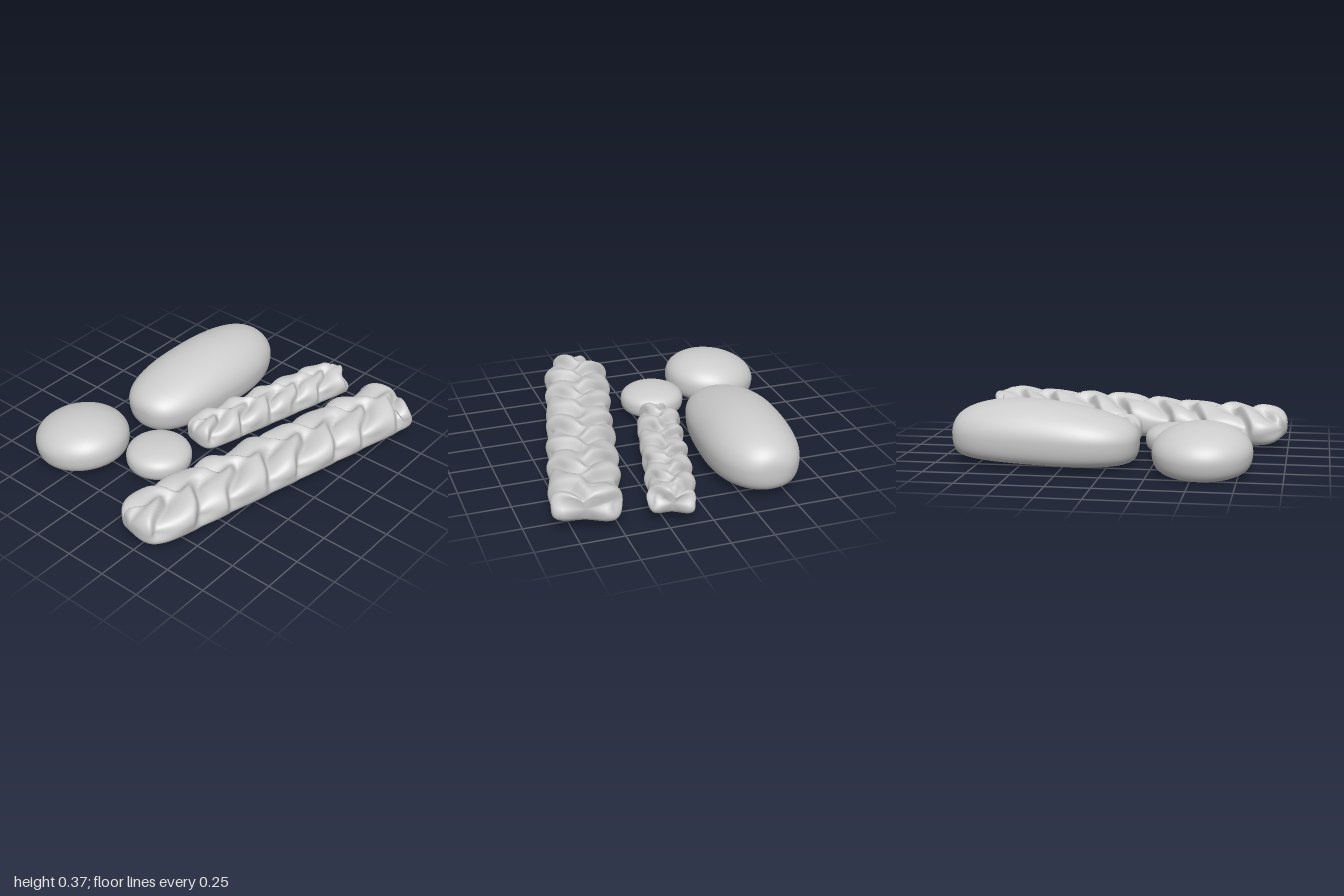
import * as THREE from 'three';
import { mergeVertices } from 'three/addons/utils/BufferGeometryUtils.js';

const smooth = THREE.MathUtils.smoothstep;

// Closed skin: moves a grid by rule(angle, t), t running from back (-1) to front (1)
function skin(rule, around, along) {
  let geo = new THREE.PlaneGeometry(1, 1, around, along);
  const pos = geo.attributes.position;
  for (let i = 0; i < pos.count; i++) {
    const step = Math.round((pos.getX(i) + 0.5) * around) % around;
    const p = rule((step / around) * Math.PI * 2, pos.getY(i) * 2);
    pos.setXYZ(i, p[0], p[1], p[2]);
  }
  geo.deleteAttribute('uv');
  geo.deleteAttribute('normal');
  geo = mergeVertices(geo, 1e-5);
  geo.computeVertexNormals();
  return geo;
}

// Plaited loaf: staggered, overlapping strands on a flat-bottomed bar
function braid(width, height, length, strands, amp) {
  const lump = (phase) => {
    const p = phase - Math.floor(phase);
    return p < 0.74 ? Math.sin((p / 0.74) * Math.PI / 2) : 0.5 + 0.5 * Math.cos(((p - 0.74) / 0.26) * Math.PI);
  };
  return skin((a, t) => {
    // crowd the rings toward both ends
    const k = 0.75 * t + 0.25 * Math.sin(t * Math.PI / 2);
    const c = Math.cos(a), s = Math.sin(a);
    const n = s > 0 ? 2.4 : 4.5;
    const r = Math.pow(Math.abs(c) ** n + Math.abs(s) ** n, -1 / n);
    const end = k > 0 ? Math.pow(1 - k ** 16, 0.42) : Math.pow(Math.max(0, 1 - Math.abs(k) ** 40), 0.3);
    const side = r * c;
    // strands wander slightly so the lumps stay uneven
    const phase = (1 - k) / 2 * strands + 0.6 * Math.abs(side) + 0.08 * Math.sin(k * 13 + side * 3);
    const mix = smooth(side, -0.22, 0.22);
    const bump = (1 - mix) * lump(phase + 0.5) + mix * lump(phase);
    const top = smooth(s, -0.9, 0.1);
    const wave = 0.12 * Math.sin(k * 19 + a * 3);
    const push = amp * top * (bump - 0.65 + wave);
    const x = (width * side + push * c * 0.9) * end;
    const y = (height * r * s + push * Math.max(s, 0) * 1.4) * end;
    // the back end is torn a little unevenly
    const torn = k < -0.9 ? 0.02 * Math.sin(a * 3) * end : 0;
    return [x, y, (k * length) / 2 + torn];
  }, 80, 240);
}

// Smooth dough: superellipsoid with a flattened underside; plump below 1 gives steeper sides
function dough(rx, ry, rz, power, flat, plump, warp) {
  return skin((a, t) => {
    const lat = t * Math.PI / 2;
    let x = Math.cos(a) * Math.cos(lat), y = Math.sin(a) * Math.cos(lat), z = Math.sin(lat);
    const n = Math.pow(Math.hypot(x, y) ** power + Math.abs(z) ** power, -1 / power);
    x *= n; y *= n; z *= n;
    // squash the lower half so it rests on its base
    y = y < 0 ? -flat * Math.tanh(-y * 1.6 / flat) : y ** plump;
    const p = [x * rx, y * ry, z * rz];
    if (warp) warp(p);
    return p;
  }, 64, 48);
}

export function createModel() {
  const group = new THREE.Group();
  const crust = new THREE.MeshStandardMaterial({ color: 0xcccccc });
  crust.name = 'crust grey';

  const add = (name, geo, position, rotation) => {
    const mesh = new THREE.Mesh(geo, crust);
    mesh.name = name;
    mesh.position.set(...position);
    mesh.rotation.set(...rotation, 'YXZ');
    group.add(mesh);
  };

  // Large oval loaf, higher toward the back, bulging unevenly along its sides
  add('ovalLoaf', dough(0.27, 0.207, 0.545, 2.6, 0.74, 1, (p) => {
    p[1] *= p[1] > 0 ? 1 - 0.2 * smooth(p[2], -0.15, 0.5) : 1;
    p[0] += 0.012 * Math.cos((p[2] + 0.3) * 5);
  }), [-0.416, 0.161, -0.365], [0.02, -0.03, 0]);

  // Round bun, leaning to one side
  add('roundBun', dough(0.284, 0.157, 0.28, 2, 0.77, 0.95), [-0.575, 0.126, 0.55], [0, 0, 0.115]);

  // Small bun with steep sides
  add('smallBun', dough(0.195, 0.096, 0.196, 2, 0.72, 0.75), [-0.12, 0.1, 0.372], [0, 0, 0]);

  // Two plaited loaves lying side by side
  add('longBraid', braid(0.189, 0.1, 1.955, 8, 0.046), [0.447, 0.136, 0.034], [0.01, -0.25, 0.06]);
  add('shortBraid', braid(0.126, 0.082, 1.13, 5.5, 0.036), [0.077, 0.124, -0.42], [0, -0.258, 0.05]);

  return group;
}
